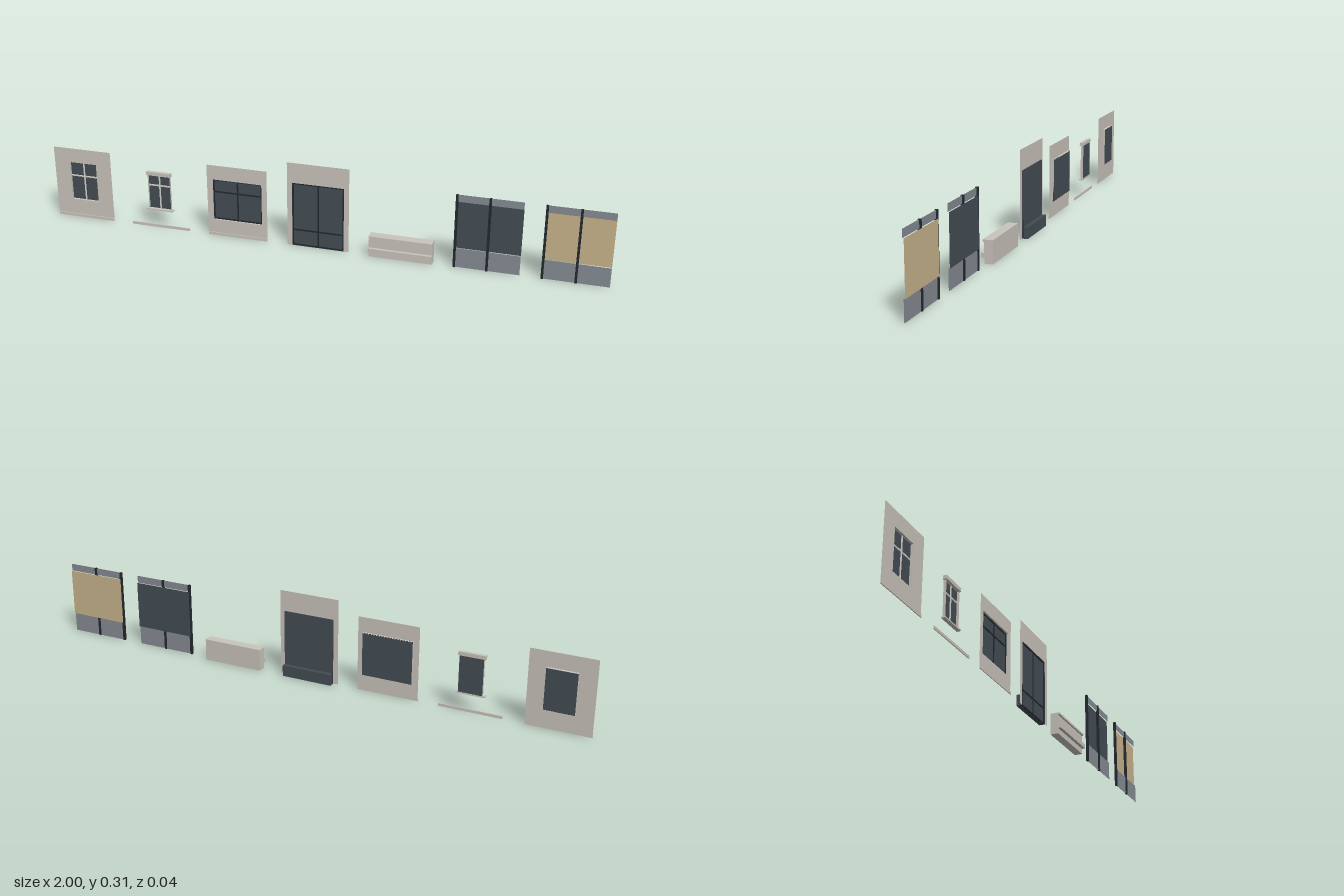
import * as THREE from 'three';

const mat = (name, color, double = false) => {
  const m = new THREE.MeshStandardMaterial({ color, side: double ? THREE.DoubleSide : THREE.FrontSide });
  m.name = name;
  return m;
};

export function createModel() {
  const stone = mat('stone', 0xc9c4bb, true);
  const glass = mat('dark glass', 0x434c54, true);
  const frame = mat('dark frame', 0x23292f);
  const spandrel = mat('grey panel', 0x868b93, true);
  const tan = mat('tan panel', 0xc8b48c, true);
  const bar = mat('pale bar', 0xd9d6cf);

  const root = new THREE.Group();
  root.name = 'facadeKit';
  const W = 0.222, PITCH = 0.2963;

  // each module is a group centred on its own bay
  const module = (name, i) => {
    const g = new THREE.Group();
    g.name = name;
    g.position.x = -0.889 + PITCH * i;
    root.add(g);
    return g;
  };
  const add = (g, name, geo, m) => {
    const mesh = new THREE.Mesh(geo, m);
    mesh.name = name;
    g.add(mesh);
    return mesh;
  };
  // box and flat panel given by their limits
  const box = (g, name, m, x0, x1, y0, y1, z0, z1) =>
    add(g, name, new THREE.BoxGeometry(x1 - x0, y1 - y0, z1 - z0), m)
      .position.set((x0 + x1) / 2, (y0 + y1) / 2, (z0 + z1) / 2);
  const panel = (g, name, m, x0, x1, y0, y1, z) =>
    add(g, name, new THREE.PlaneGeometry(x1 - x0, y1 - y0), m)
      .position.set((x0 + x1) / 2, (y0 + y1) / 2, z);

  const rect = (P, x0, x1, y0, y1) => new P()
    .moveTo(x0, y0).lineTo(x1, y0).lineTo(x1, y1).lineTo(x0, y1).closePath();
  // thin wall with an opening
  const wall = (g, h, hw, y0, y1) => {
    const s = rect(THREE.Shape, -W / 2, W / 2, 0, h);
    s.holes.push(rect(THREE.Path, -hw, hw, y0, y1));
    add(g, 'wall', new THREE.ShapeGeometry(s), stone);
  };
  // four sides of a recess from z = 0 back to z
  const reveal = (g, m, hw, y0, y1, z) => {
    for (const s of [-1, 1]) {
      const side = add(g, 'sideReveal', new THREE.PlaneGeometry(-z, y1 - y0), m);
      side.rotation.y = -s * Math.PI / 2;
      side.position.set(s * hw, (y0 + y1) / 2, z / 2);
    }
    for (const [name, y, r] of [['sillReveal', y0, -1], ['headReveal', y1, 1]]) {
      const p = add(g, name, new THREE.PlaneGeometry(hw * 2, -z), m);
      p.rotation.x = r * Math.PI / 2;
      p.position.set(0, y, z / 2);
    }
  };
  // glazing with a rim, a central bar and a cross bar
  const glazing = (g, hw, y0, y1, z, m, t, crossY, rim) => {
    panel(g, 'glass', glass, -hw, hw, y0, y1, z);
    const f = z + 0.003;
    box(g, 'centreBar', m, -t / 2, t / 2, y0, y1, z + 0.0005, f);
    box(g, 'crossBar', m, -hw, hw, crossY - t / 2, crossY + t / 2, z + 0.0005, f);
    if (!rim) return;
    for (const s of [-1, 1]) {
      const c = s * (hw - t / 2);
      box(g, 'sideFrame', m, c - t / 2, c + t / 2, y0, y1, z + 0.0005, f);
    }
    box(g, 'topFrame', m, -hw, hw, y1 - t, y1, z + 0.0005, f);
    box(g, 'bottomFrame', m, -hw, hw, y0, y0 + t, z + 0.0005, f);
  };
  const plinth = g => box(g, 'plinthStrip', stone, -W / 2, W / 2, 0, 0.01, 0, 0.003);

  // wall with a small window
  const a = module('windowWall', 0);
  wall(a, 0.267, 0.052, 0.068, 0.213);
  reveal(a, stone, 0.052, 0.068, 0.213, -0.01);
  glazing(a, 0.052, 0.068, 0.213, -0.009, bar, 0.005, 0.16, false);
  plinth(a);

  // loose window with its head, sill and base strip
  const b = module('looseWindow', 1);
  reveal(b, stone, 0.042, 0.07, 0.205, -0.01);
  glazing(b, 0.042, 0.07, 0.205, -0.009, bar, 0.005, 0.16, false);
  box(b, 'windowHead', stone, -0.047, 0.047, 0.2, 0.213, -0.01, 0.003);
  box(b, 'windowSill', stone, -0.05, 0.05, 0.066, 0.071, -0.01, 0.004);
  plinth(b);

  // wall with a wide window
  const c = module('wideWindowWall', 2);
  wall(c, 0.267, 0.091, 0.06, 0.213);
  reveal(c, stone, 0.091, 0.06, 0.213, -0.01);
  glazing(c, 0.091, 0.06, 0.213, -0.009, frame, 0.005, 0.165, true);
  plinth(c);

  // tall wall with a double door and a deep base
  const d = module('doorWall', 3);
  const s = new THREE.Shape().moveTo(-W / 2, 0).lineTo(-0.093, 0).lineTo(-0.093, 0.237)
    .lineTo(0.093, 0.237).lineTo(0.093, 0).lineTo(W / 2, 0).lineTo(W / 2, 0.311).lineTo(-W / 2, 0.311);
  add(d, 'wall', new THREE.ShapeGeometry(s), stone);
  reveal(d, glass, 0.093, 0, 0.237, -0.005);
  glazing(d, 0.093, 0, 0.237, -0.005, frame, 0.005, 0.06, true);
  box(d, 'doorBase', glass, -0.093, 0.093, 0, 0.04, -0.021, -0.0055);

  // moulded cornice block, cross-section as [z, y]
  const e = module('cornice', 4);
  const profile = [[-0.02, 0], [0.009, 0], [0.009, 0.02], [0.021, 0.02], [0.021, 0.035],
    [0.01, 0.035], [0.01, 0.07], [0.015, 0.072], [0.015, 0.079], [-0.02, 0.079]];
  const cs = new THREE.Shape(profile.map(([z, y]) => new THREE.Vector2(-z, y)));
  const cg = new THREE.ExtrudeGeometry(cs, { depth: W, bevelEnabled: false });
  cg.rotateY(Math.PI / 2).translate(-W / 2, 0, 0);
  add(e, 'corniceBlock', cg, stone);

  // curtain walls: glazed and tan infill
  for (const [name, i, infill] of [['glazedBay', 5, glass], ['tanBay', 6, tan]]) {
    const g = module(name, i);
    panel(g, 'lowerPanel', spandrel, -W / 2, W / 2, 0, 0.07, 0);
    panel(g, 'upperPanel', spandrel, -W / 2, W / 2, 0.241, 0.267, 0);
    panel(g, 'infill', infill, -W / 2, W / 2, 0.07, 0.241, -0.0045);
    for (const x of [-W / 2, 0])
      box(g, 'mullion', frame, x - 0.004, x + 0.004, 0, 0.267, -0.004, 0.005);
  }
  return root;
}
